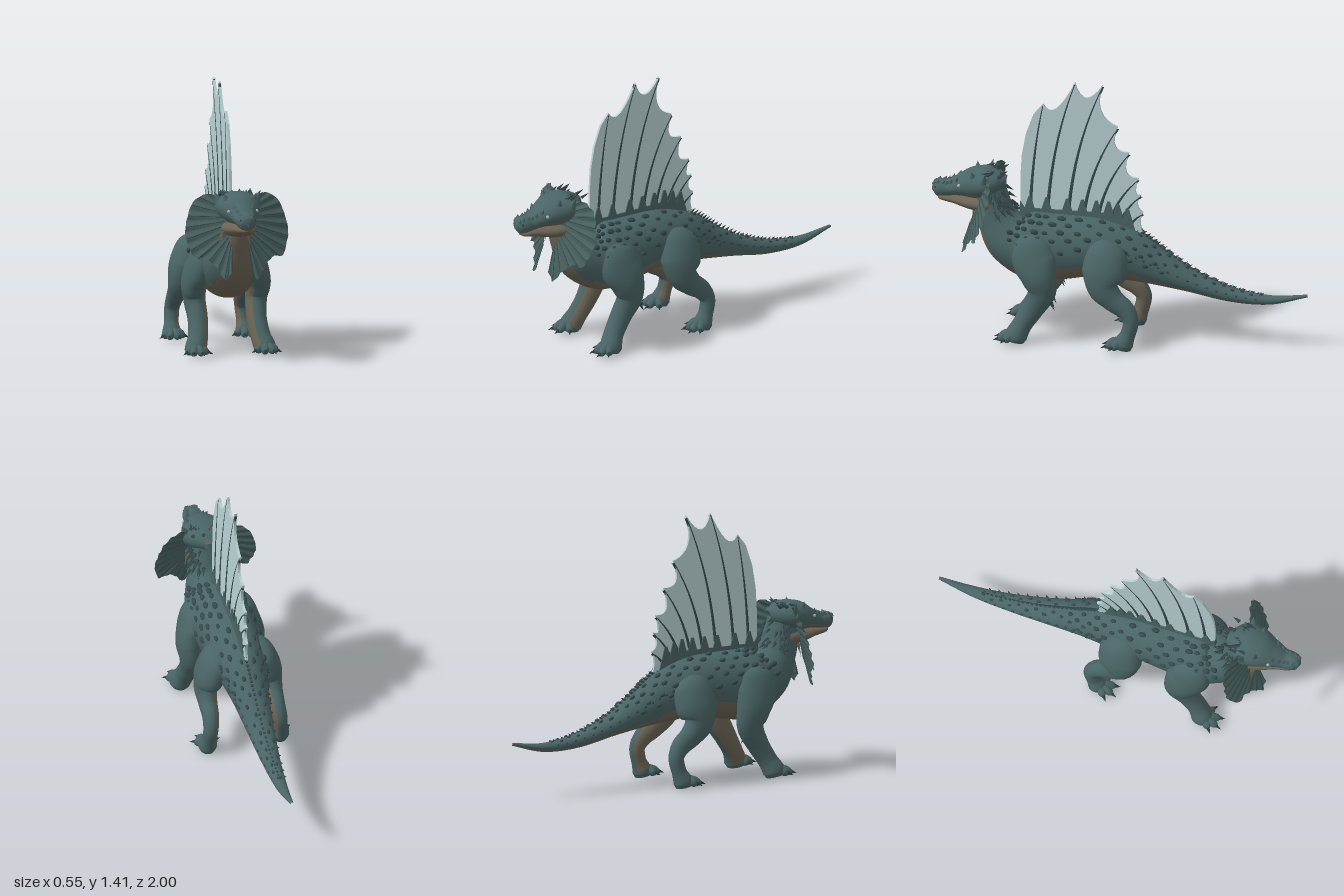
import * as THREE from 'three';
import { mergeGeometries } from 'three/addons/utils/BufferGeometryUtils.js';

const V = (x, y, z) => new THREE.Vector3(x, y, z);
const UP = V(0, 1, 0);
const mat = (name, color, side = THREE.FrontSide) => {
  const m = new THREE.MeshStandardMaterial({ color, side });
  m.name = name;
  return m;
};

// Smooth tube of ellipses; rows are [x, y, z, half width, half height]
function makeLoft(rows) {
  const path = new THREE.CatmullRomCurve3(rows.map(r => V(r[0], r[1], r[2])));
  const radii = new THREE.CatmullRomCurve3(rows.map(r => V(r[3], r[4], 0)));
  const at = (t, a) => {
    const T = path.getTangent(t), S = V(1, 0, 0).addScaledVector(T, -T.x).normalize();
    const U = T.clone().cross(S), r = radii.getPoint(t);
    const c = Math.cos(a), s = Math.sin(a), rx = Math.max(r.x, 0.001), ry = Math.max(r.y, 0.001);
    return {
      p: path.getPoint(t).addScaledVector(S, c * rx).addScaledVector(U, s * ry),
      n: S.multiplyScalar(c / rx).addScaledVector(U, s / ry).normalize(), T,
    };
  };
  // Faces passing the under test use the second material
  const geometry = (seg, rad, under = () => false) => {
    const pos = [], sets = [[], []];
    for (let i = 0; i <= seg; i++)
      for (let j = 0; j < rad; j++) pos.push(...at(i / seg, j / rad * Math.PI * 2).p.toArray());
    for (let i = 0; i < seg; i++)
      for (let j = 0; j < rad; j++) {
        const a = i * rad + j, b = i * rad + (j + 1) % rad, c = a + rad, d = b + rad;
        sets[under((j + 0.5) / rad * Math.PI * 2, i / seg) ? 1 : 0].push(a, b, c, b, d, c);
      }
    const g = new THREE.BufferGeometry();
    g.setAttribute('position', new THREE.Float32BufferAttribute(pos, 3));
    g.setIndex([...sets[0], ...sets[1]]);
    g.addGroup(0, sets[0].length, 0);
    g.addGroup(sets[0].length, sets[1].length, 1);
    g.computeVertexNormals();
    return g;
  };
  return { at, geometry };
}

// Turn an upright geometry along a direction and move it into place
function place(g, p, dir) {
  const q = new THREE.Quaternion().setFromUnitVectors(UP, dir.clone().normalize());
  return g.applyQuaternion(q).translate(p.x, p.y, p.z);
}
const spike = (p, dir, len, r, sides = 5) => place(new THREE.ConeGeometry(r, len, sides).translate(0, len / 2, 0), p, dir);
const scute = (p, dir, r) => place(new THREE.SphereGeometry(r, 7, 5).scale(.8, .75, 1.3), p, dir);

// Plate standing in the middle plane; points are [z, y]
function plate(points, thick) {
  const s = new THREE.Shape(points.map(p => new THREE.Vector2(p[0], p[1])));
  return new THREE.ExtrudeGeometry(s, { depth: thick, bevelEnabled: false }).rotateY(-Math.PI / 2).translate(thick / 2, 0, 0);
}

export function createModel() {
  const skin = mat('slate skin', 0x4a6465), belly = mat('brown belly', 0x6b6455);
  const scale = mat('dark scales', 0x364a4d), claw = mat('claw', 0x2f3b3c);
  const web = mat('pale sail', 0xb9d1d2, THREE.DoubleSide), eyeMat = mat('pale eye', 0xa9b6b2);
  const frillSkin = mat('frill skin', 0x48615f, THREE.DoubleSide);
  const group = new THREE.Group();
  const add = (name, g, m) => {
    const mesh = new THREE.Mesh(g, m);
    mesh.name = name;
    group.add(mesh);
  };
  let seed = 7;
  const rnd = () => (seed = (seed * 16807) % 2147483647) / 2147483647;

  // Tail, trunk and neck; the brown underside narrows toward the throat
  const body = makeLoft([
    [0, .292, -1, .008, .007], [0, .256, -.8, .03, .024], [0, .272, -.6, .048, .038], [0, .328, -.4, .07, .056],
    [0, .402, -.2, .096, .1], [0, .458, -.05, .125, .142], [0, .495, .12, .148, .16], [0, .485, .3, .16, .18],
    [0, .48, .45, .168, .19], [0, .52, .58, .14, .15], [0, .62, .655, .105, .105], [0, .72, .685, .09, .095],
    [0, .8, .70, .08, .085]]);
  const bellyLine = t => t < .36 ? -.55 : -.46 - .34 * THREE.MathUtils.smoothstep(t, .62, .76);
  add('body', body.geometry(110, 44, (a, t) => Math.sin(a) < bellyLine(t)), [skin, belly]);

  // Head and lower jaw
  const head = makeLoft([[0, .82, .6, .03, .03], [0, .82, .65, .09, .06], [0, .815, .71, .12, .08], [0, .803, .78, .105, .08],
    [0, .785, .85, .075, .056], [0, .767, .91, .054, .043], [0, .764, .955, .05, .047], [0, .755, .985, .036, .036], [0, .75, 1, .003, .003]]);
  add('head', head.geometry(48, 28, (a, t) => t > .3 && Math.sin(a) < -.5), [skin, belly]);
  const jaw = makeLoft([[0, .72, .63, .04, .03], [0, .705, .7, .1, .05], [0, .703, .78, .088, .042], [0, .712, .88, .054, .026],
    [0, .718, .95, .04, .018], [0, .72, .978, .003, .003]]);
  add('jaw', jaw.geometry(32, 20), [belly, belly]);

  // Sail membrane with scalloped rear edge
  const tips = [[.41, 1.27], [.24, 1.4], [.09, 1.4], [.01, 1.17], [-.05, 1.03], [-.1, .89], [-.115, .8], [-.125, .7], [-.12, .59]];
  const dips = [[.34, 1.25], [.18, 1.32], [.1, 1.25], [.025, 1.06], [-.035, .92], [-.085, .81], [-.095, .74], [-.11, .65]];
  const edge = [[.53, .56], [.53, .85], [.522, .98], [.5, 1.1], [.46, 1.21]];
  tips.forEach((tip, i) => {
    edge.push(tip);
    if (!dips[i]) return;
    const next = tips[i + 1];
    const arc = new THREE.QuadraticBezierCurve(new THREE.Vector2(...tip),
      new THREE.Vector2(2 * dips[i][0] - (tip[0] + next[0]) / 2, 2 * dips[i][1] - (tip[1] + next[1]) / 2), new THREE.Vector2(...next));
    arc.getPoints(8).slice(1, -1).forEach(p => edge.push([p.x, p.y]));
  });
  edge.push([.1, .55]);
  add('sail', plate(edge, .014), web);

  // Curved sail ribs, thinner toward the rear edge
  const bases = [.48, .39, .28, .2, .125, .06, .01, -.04];
  add('sailRibs', mergeGeometries(bases.map((z, i) => {
    const [tz, ty] = tips[i];
    const c = new THREE.QuadraticBezierCurve3(V(0, .58, z), V(0, .58 + (ty - .58) * .55, z + (tz - z) * .12), V(0, ty - .01, tz));
    const g = new THREE.TubeGeometry(c, 16, .011, 6), p = g.attributes.position;
    for (let k = 0; k < p.count; k++) {
      const ring = Math.floor(k / 7), o = c.getPointAt(ring / 16), v = V(0, 0, 0).fromBufferAttribute(p, k);
      v.sub(o).multiplyScalar(1.2 - .45 * ring / 16).add(o);
      p.setXYZ(k, v.x, v.y, v.z);
    }
    return g;
  })), scale);

  // Skin climbing each rib at the foot of the sail
  const jag = [[.535, .57], [.53, .72]];
  for (const z of bases) {
    const y = z > .05 ? .665 : .665 - (.05 - z) * .35;
    jag.push([z + .026, y + .02], [z + .006, y + .085], [z - .008, y + .085], [z - .026, y + .02]);
  }
  jag.push([-.11, .5]);
  add('sailRoot', plate(jag, .028), skin);

  // Rounded scutes on the back and flanks, spikes along the tail ridge and sides
  const scutes = [];
  for (let i = 4; i < 68; i++) {
    const t = .06 + i * .0108, big = Math.min(1, .35 + t * 1.2);
    for (const s of [1, -1]) {
      for (let k = 0; k < 5; k++) {
        if ((i + k * 2) % 4 || (k > 1 && t < .3)) continue;
        const a = Math.PI / 2 + s * (.2 + k * .29 + rnd() * .16), h = body.at(t, a);
        scutes.push(scute(h.p, h.n.addScaledVector(h.T, -.35), (.014 + rnd() * .006) * big));
      }
      if (i % 2 && t < .45) {
        const h = body.at(t, Math.PI / 2 - s * 1.25);
        scutes.push(spike(h.p.addScaledVector(h.n, -.004), h.n.addScaledVector(h.T, -.8), .012 + .03 * t, .006 + .01 * t));
      }
    }
    if (t < .46) {
      const h = body.at(t, Math.PI / 2);
      scutes.push(spike(h.p.addScaledVector(h.n, -.005), h.n.addScaledVector(h.T, -.9), .015 + .06 * t, .006 + .012 * t));
    }
  }
  add('scutes', mergeGeometries(scutes), scale);

  // Crest, horns, brow spikes and mane
  const crest = [], beard = [], horns = [];
  for (const s of [1, -1]) {
    horns.push(spike(V(s * .095, .835, .71), V(s * .5, 1, -.2), .065, .026, 8), spike(V(s * .07, .85, .77), V(s * .4, 1, .1), .045, .022, 8));
    for (let i = 0; i < 6; i++) {
      const h = head.at(.5 + i * .065, Math.PI / 2 - s * (.7 - i * .03));
      horns.push(spike(h.p.addScaledVector(h.n, -.004), h.n.addScaledVector(h.T, -.4), .026 - i * .002, .014, 6));
    }
    for (let i = 0; i < 24; i++) {
      const a = Math.PI / 2 - s * (.1 + rnd() * 1.4), h = body.at(.84 + .14 * rnd(), a);
      crest.push(spike(h.p, h.n.addScaledVector(h.T, -.9), .05, .01, 4));
    }
    for (let i = 0; i < 10; i++) {
      crest.push(spike(V(s * (.01 + .008 * i), .87, .63 + .1 * rnd()), V(s * .2, .5, -1), .045, .012, 4));
      beard.push(spike(V(s * (.035 + rnd() * .06), .69, .69 + rnd() * .1), V(s * .25, -1, .05), .05 + rnd() * .05, .009, 4));
    }
  }
  add('mane', mergeGeometries(crest), scale);
  add('horns', mergeGeometries(horns), skin);
  add('beard', mergeGeometries(beard), belly);

  const legRows = {
    front: [[.07, .58, .43, .02, .04], [.125, .53, .435, .06, .1], [.152, .45, .43, .066, .118], [.17, .36, .4, .068, .095],
      [.165, .28, .385, .058, .075], [.157, .18, .435, .053, .06], [.167, .09, .49, .053, .053], [.185, .03, .52, .058, .06], [.187, .004, .525, .045, .05]],
    hind: [[.06, .55, .03, .03, .06], [.115, .5, .045, .075, .11], [.155, .41, .055, .075, .118], [.174, .33, .057, .063, .085],
      [.178, .265, .005, .05, .062], [.18, .215, -.06, .044, .052], [.187, .16, -.092, .04, .042], [.192, .09, -.08, .038, .04],
      [.196, .03, -.055, .05, .052], [.196, .004, -.05, .04, .045]],
  };
  for (const s of [1, -1]) {
    const side = s > 0 ? 'left' : 'right';
    for (const kind of ['front', 'hind']) {
      const rows = legRows[kind].map(([x, ...r]) => [s * x, ...r]);
      add(side + kind + 'Leg', makeLoft(rows).geometry(48, 24, (a, t) => s * Math.cos(a) < -.4 && t > .25 && t < .85), [skin, belly]);

      // Spread toes with claws
      const [fx, , fz] = rows[rows.length - 1], toes = [], claws = [];
      [-1.1, -.35, .2, .75].forEach((a, i) => {
        const dx = s * Math.sin(a + .12), dz = Math.cos(a + .12), L = i % 3 ? .088 : .07;
        const q = (d, y, r, h) => [fx + dx * d, y, fz + dz * d, r, h];
        toes.push(makeLoft([q(0, .034, .022, .028), q(L * .5, .036, .022, .026), q(L * .85, .023, .02, .021), q(L * 1.08, .016, .004, .006)]).geometry(10, 10));
        claws.push(spike(V(fx + dx * L * .9, .026, fz + dz * L * .9), V(dx, -.35, dz), .042, .012, 6));
      });
      add(side + kind + 'Toes', mergeGeometries(toes), skin);
      add(side + kind + 'Claws', mergeGeometries(claws), claw);
    }

    // Elbow tuft
    const tuft = [];
    for (let i = 0; i < 9; i++) tuft.push(spike(V(s * (.14 + rnd() * .05), .24 + i * .012, .335 + rnd() * .02), V(0, -1, -.5), .06, .011, 4));
    add(side + 'ElbowTuft', mergeGeometries(tuft), scale);

    // Swept-back neck frill with soft pleats: a fan between an inner and an outer edge
    const curve = pts => new THREE.CatmullRomCurve3(pts.map(p => V(p[0], p[1], 0)));
    const outer = curve([[.08, .865], [.16, .875], [.225, .835], [.26, .755], [.275, .67], [.258, .6], [.235, .55], [.185, .55], [.135, .51], [.085, .44], [.055, .48]]);
    const inner = curve([[.06, .84], [.07, .81], [.07, .76], [.065, .7], [.06, .66], [.045, .6]]);
    const onFrill = (u, v) => {
      const p = inner.getPointAt(u).lerp(outer.getPointAt(u), v);
      p.z = .85 - .3 * (p.y - .45) - .35 * p.x + v * .005 * Math.cos(u * Math.PI * 24);
      p.x *= s;
      return p;
    };
    const pos = [], idx = [], nu = 96, nv = 5;
    for (let i = 0; i <= nu; i++)
      for (let j = 0; j <= nv; j++) {
        pos.push(...onFrill(i / nu, j / nv).toArray());
        const a = i * (nv + 1) + j, c = a + nv + 1;
        if (i < nu && j < nv) idx.push(...(s > 0 ? [a, c, a + 1, a + 1, c, c + 1] : [a, a + 1, c, a + 1, c + 1, c]));
      }
    const frill = new THREE.BufferGeometry();
    frill.setAttribute('position', new THREE.Float32BufferAttribute(pos, 3));
    frill.setIndex(idx);
    frill.computeVertexNormals();
    add(side + 'Frill', frill, frillSkin);
    const ribs = [];
    for (let k = 0; k <= 12; k++) {
      const c = new THREE.LineCurve3(onFrill(k / 12, 0), onFrill(k / 12, 1));
      ribs.push(new THREE.TubeGeometry(c, 1, .0022, 5));
    }
    add(side + 'FrillRibs', mergeGeometries(ribs), scale);

    // Eye and nostril
    add(side + 'Eye', new THREE.SphereGeometry(.009, 12, 8).translate(s * .075, .807, .845), eyeMat);
    add(side + 'Nostril', new THREE.SphereGeometry(.008, 8, 6).translate(s * .034, .777, .975), claw);
  }
  return group;
}
